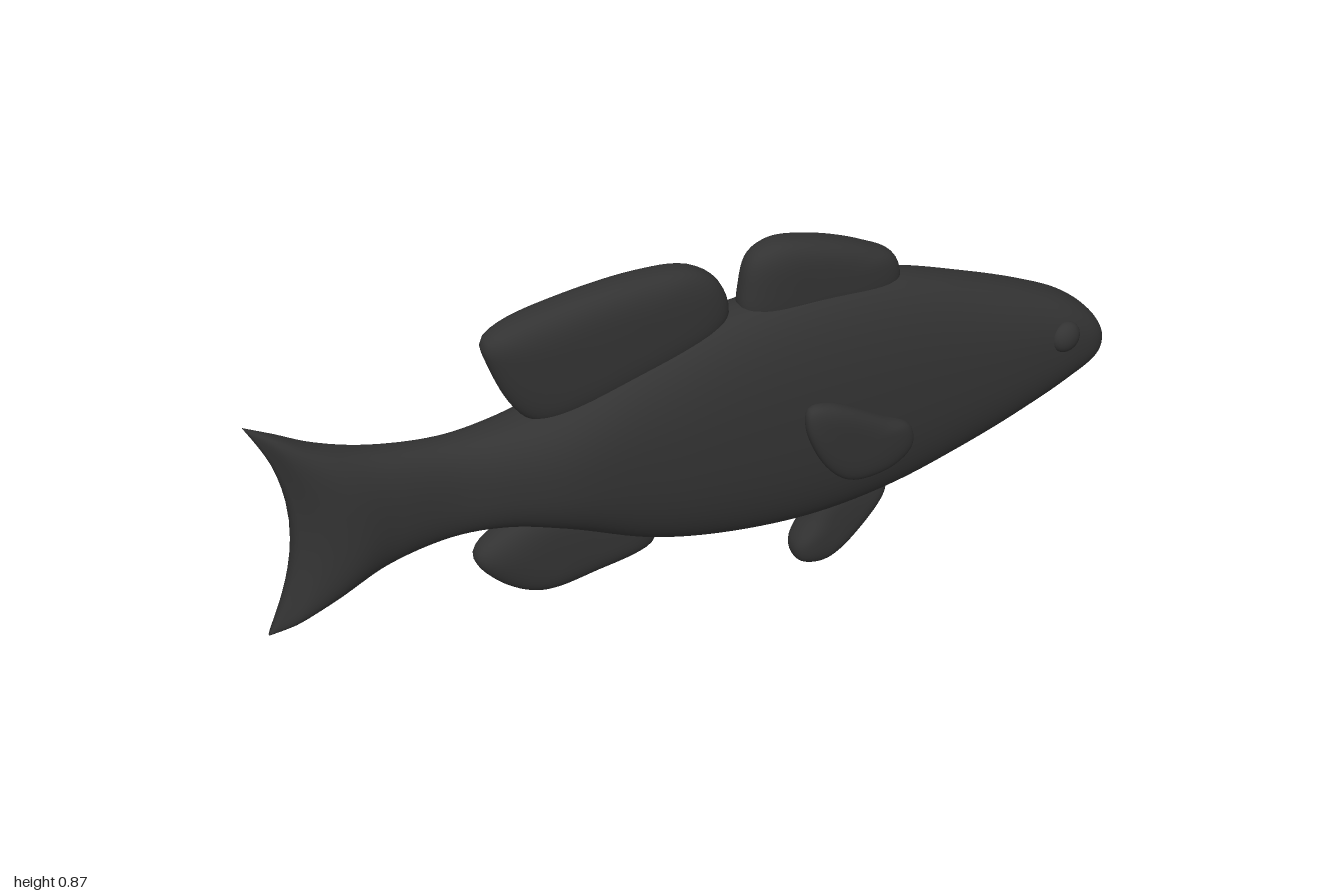
import * as THREE from 'three';

const material = new THREE.MeshStandardMaterial({ color: 0x333333 });

// Smooth skin over a list of closed rings, each with the same number of points
function skin(rings) {
  const n = rings[0].length, index = [];
  for (let k = 0; k < rings.length - 1; k++) {
    for (let j = 0; j < n; j++) {
      const a = k * n + j, b = k * n + (j + 1) % n;
      index.push(a, b, a + n, b, b + n, a + n);
    }
  }
  const geometry = new THREE.BufferGeometry();
  geometry.setAttribute('position', new THREE.Float32BufferAttribute(rings.flat(2), 3));
  geometry.setIndex(index);
  geometry.computeVertexNormals();
  return geometry;
}

const power = (v, p) => Math.sign(v) * Math.abs(v) ** p;

// Body stations from tail to nose: x, top, bottom, half width, z of the middle
const STATIONS = [
  [-1, 0.757, 0.238, 0.018, -0.005],
  [-0.95, 0.732, 0.257, 0.045, 0.005],
  [-0.87, 0.685, 0.298, 0.06, 0.01],
  [-0.75, 0.635, 0.348, 0.06, 0.003],
  [-0.6, 0.605, 0.37, 0.062, -0.002],
  [-0.48, 0.607, 0.363, 0.083, 0],
  [-0.35, 0.63, 0.32, 0.107, 0],
  [-0.15, 0.69, 0.225, 0.109, 0],
  [0.04, 0.738, 0.175, 0.11, 0],
  [0.25, 0.75, 0.155, 0.11, 0],
  [0.45, 0.725, 0.175, 0.108, 0],
  [0.65, 0.657, 0.23, 0.102, 0],
  [0.8, 0.595, 0.285, 0.094, 0],
  [0.9, 0.543, 0.33, 0.084, 0],
  [0.965, 0.49, 0.364, 0.067, 0],
  [0.992, 0.448, 0.39, 0.04, 0],
  [1, 0.415, 0.415, 0, 0],
];

function bodyGeometry() {
  const outline = new THREE.CatmullRomCurve3(STATIONS.map(([x, t, b]) => new THREE.Vector3(x, t, b)));
  const girth = new THREE.CatmullRomCurve3(STATIONS.map(([x, , , w, z]) => new THREE.Vector3(x, w, z)));
  const ring = (t, widthScale = 1) => {
    const { x, y: top, z: bottom } = outline.getPoint(t);
    const { y: width, z: shift } = girth.getPoint(t);
    // The rear edge of the tail is forked: its middle is pushed forward
    const notch = 0.075 * THREE.MathUtils.smoothstep(-x, 0.5, 1);
    return Array.from({ length: 48 }, (_, j) => {
      const a = j / 48 * Math.PI * 2, v = power(Math.cos(a), 0.85);
      return [
        x + notch * (1 - v * v),
        (top + bottom) / 2 + v * (top - bottom) / 2,
        shift + widthScale * width * power(Math.sin(a), 0.8),
      ];
    });
  };
  const rings = [ring(0, 0)];
  for (let k = 0; k <= 96; k++) rings.push(ring(k / 96));
  return skin(rings);
}

// Cushion-shaped fin from an outline in x and y; place(x) gives the z of its middle
function finGeometry(points, half, place = () => 0) {
  const curve = new THREE.CatmullRomCurve3(points.map(([x, y]) => new THREE.Vector3(x, y, 0)), true);
  const edge = curve.getSpacedPoints(72).slice(0, -1);
  if (THREE.ShapeUtils.area(edge) < 0) edge.reverse();
  const centre = edge.reduce((sum, p) => sum.add(p), new THREE.Vector3()).divideScalar(edge.length);
  const rings = [];
  for (let k = 0; k <= 24; k++) {
    const a = (k / 24 - 0.5) * Math.PI;
    const size = Math.max(Math.cos(a), 0) ** 0.5, z = half * power(Math.sin(a), 0.8);
    rings.push(edge.map((p) => {
      const x = centre.x + (p.x - centre.x) * size;
      return [x, centre.y + (p.y - centre.y) * size, place(x) + z];
    }));
  }
  return skin(rings);
}

const REAR_DORSAL = [[-0.4, 0.6], [-0.495, 0.77], [-0.5, 0.81], [-0.46, 0.838], [-0.33, 0.865],
  [-0.14, 0.878], [-0.03, 0.862], [0.03, 0.81], [0.043, 0.72], [-0.15, 0.63]];
const FRONT_DORSAL = [[0.085, 0.71], [0.08, 0.79], [0.1, 0.853], [0.15, 0.877], [0.25, 0.862],
  [0.38, 0.812], [0.447, 0.768], [0.455, 0.7], [0.27, 0.67]];
const ANAL = [[-0.42, 0.37], [-0.535, 0.31], [-0.545, 0.28], [-0.487, 0.205], [-0.405, 0.162],
  [-0.28, 0.172], [-0.13, 0.21], [-0.15, 0.28], [-0.3, 0.36]];
const PELVIC = [[0.45, 0.175], [0.38, 0.07], [0.29, 0.005], [0.23, 0.018], [0.215, 0.06],
  [0.25, 0.13], [0.29, 0.2], [0.4, 0.22]];
const PECTORAL = [[0.175, 0.53], [0.225, 0.525], [0.38, 0.432], [0.445, 0.39], [0.452, 0.335],
  [0.4, 0.3], [0.29, 0.305], [0.225, 0.36], [0.17, 0.48]];

export function createModel() {
  const fish = new THREE.Group();
  fish.name = 'fish';
  const add = (name, geometry) => {
    const mesh = new THREE.Mesh(geometry, material);
    mesh.name = name;
    fish.add(mesh);
    return mesh;
  };

  add('bodyAndTail', bodyGeometry());

  // Fins along the middle
  add('rearDorsalFin', finGeometry(REAR_DORSAL, 0.056));
  add('frontDorsalFin', finGeometry(FRONT_DORSAL, 0.05));
  add('analFin', finGeometry(ANAL, 0.05));
  add('pelvicFin', finGeometry(PELVIC, 0.047));

  // Paired side fins, spreading outward to the rear, and eyes
  for (const [label, side] of [['right', 1], ['left', -1]]) {
    add(`${label}PectoralFin`, finGeometry(PECTORAL, 0.03, (x) => side * (0.125 + (0.3 - x) * 0.12)));
    const eye = add(`${label}Eye`, new THREE.SphereGeometry(1, 32, 20));
    eye.scale.set(0.037, 0.037, 0.026);
    eye.position.set(0.86, 0.483, side * 0.081);
    eye.rotation.y = side * 0.15;
  }
  return fish;
}
